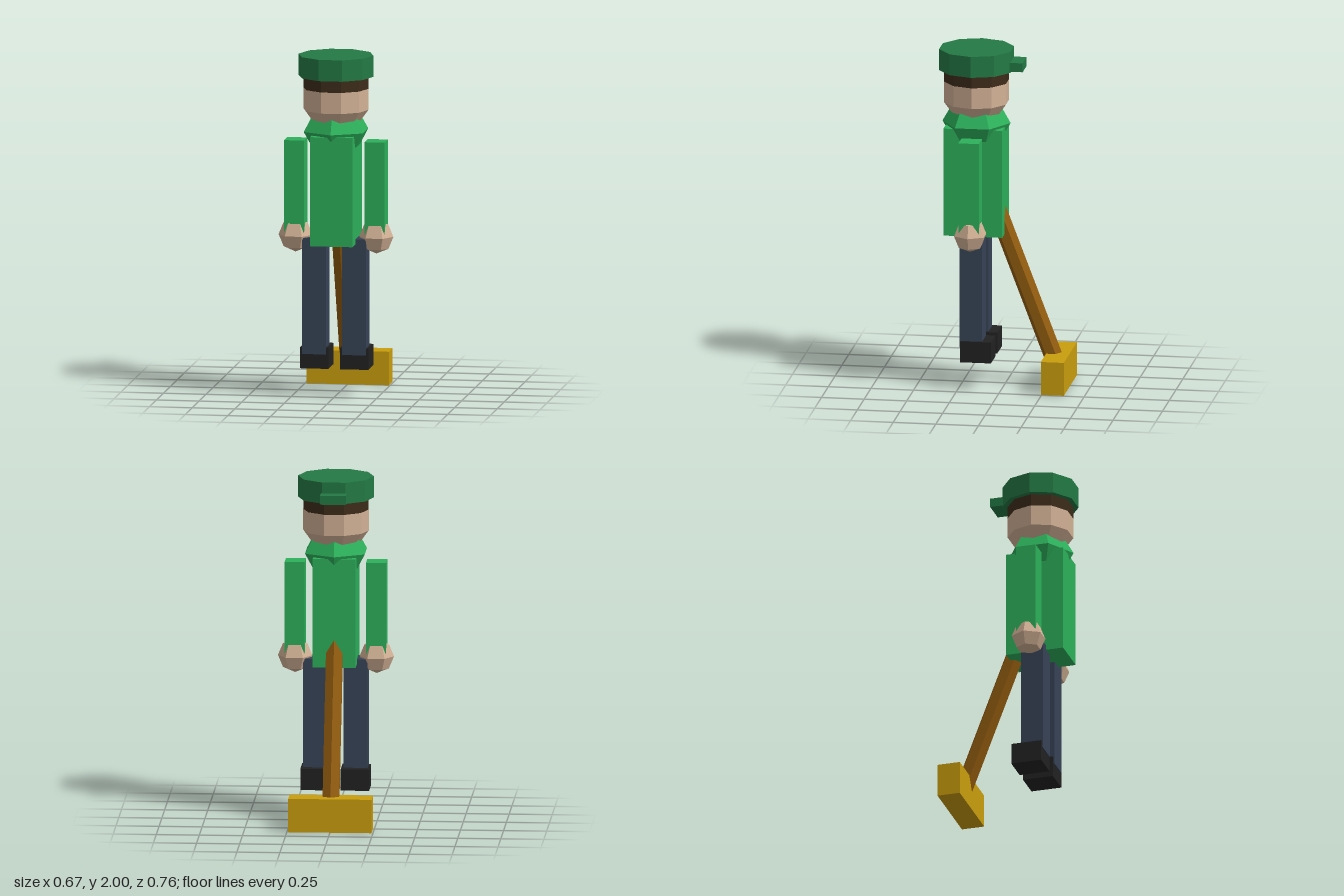
import * as THREE from 'three';

const paint = (name, color) => {
  const m = new THREE.MeshStandardMaterial({ color });
  m.name = name;
  return m;
};

export function createModel() {
  const shirt = paint('shirt green', 0x2db15b);
  const capGreen = paint('cap green', 0x237a45);
  const hairBrown = paint('hair brown', 0x3d2c1a);
  const skin = paint('skin', 0xd2b195);
  const denim = paint('trouser blue', 0x374356);
  const black = paint('shoe black', 0x222222);
  const wood = paint('handle wood', 0x925c0f);
  const gold = paint('mallet gold', 0xca9e0e);

  const figure = new THREE.Group();
  figure.name = 'figure';
  const Z = 0.17; // body axis; the figure faces -z

  // Adds a mesh with hard facets
  const add = (name, geometry, material, x, y, z) => {
    const g = geometry.index ? geometry.toNonIndexed() : geometry;
    g.computeVertexNormals();
    const mesh = new THREE.Mesh(g, material);
    mesh.name = name;
    mesh.position.set(x, y, z);
    figure.add(mesh);
    return mesh;
  };
  // Adds a box from its minimum and maximum corners
  const box = (name, material, [x0, y0, z0], [x1, y1, z1]) =>
    add(name, new THREE.BoxGeometry(x1 - x0, y1 - y0, z1 - z0), material,
      (x0 + x1) / 2, (y0 + y1) / 2, (z0 + z1) / 2);
  // Ten-sided drum with corners on the x axis
  const drum = (name, material, r, y0, y1) =>
    add(name, new THREE.CylinderGeometry(r, r, y1 - y0, 10).rotateY(Math.PI / 10),
      material, 0, (y0 + y1) / 2, Z);

  // Head, hair and cap
  drum('cap', capGreen, 0.22, 1.875, 2);
  box('capBrim', capGreen, [-0.075, 1.883, -0.112], [0.075, 1.936, 0.04]);
  drum('hair', hairBrown, 0.19, 1.785, 1.876);
  add('head', new THREE.SphereGeometry(0.2, 10, 5), skin, 0, 1.742, Z);

  // Six-sided collar and torso
  const collar = [[0, -0.087], [0.15, -0.087], [0.2, 0], [0.15, 0.087], [0, 0.087]]
    .map(([r, y]) => new THREE.Vector2(r, y));
  add('collar', new THREE.LatheGeometry(collar, 6), shirt, 0, 1.557, Z);
  box('torso', shirt, [-0.125, 0.9, 0], [0.125, 1.54, 0.345]);

  // Limbs, mirrored
  for (const [side, s] of [['left', 1], ['right', -1]]) {
    const limb = (part, material, x0, x1, y0, y1, z0, z1) =>
      box(side + part, material,
        [Math.min(s * x0, s * x1), y0, z0], [Math.max(s * x0, s * x1), y1, z1]);
    limb('Arm', shirt, 0.178, 0.294, 0.95, 1.5, 0.11, 0.23);
    add(side + 'Hand', new THREE.SphereGeometry(0.1, 6, 4), skin, s * 0.237, 0.939, Z);
    limb('Leg', denim, 0.048, 0.187, 0.25, 0.93, 0.108, 0.241);
    limb('Shoe', black, 0.034, 0.2, 0.165, 0.29, 0.054, 0.235);
  }

  // Mallet with a leaning six-sided handle
  box('malletHead', gold, [-0.242, 0, -0.38], [0.242, 0.197, -0.245]);
  const low = new THREE.Vector3(0, 0.1, -0.308);
  const high = new THREE.Vector3(0, 1.15, 0.092);
  const lean = high.clone().sub(low);
  const handle = add('malletHandle', new THREE.CylinderGeometry(0.055, 0.055, lean.length(), 6),
    wood, 0, (low.y + high.y) / 2, (low.z + high.z) / 2);
  handle.rotation.x = Math.atan2(lean.z, lean.y);

  return figure;
}
